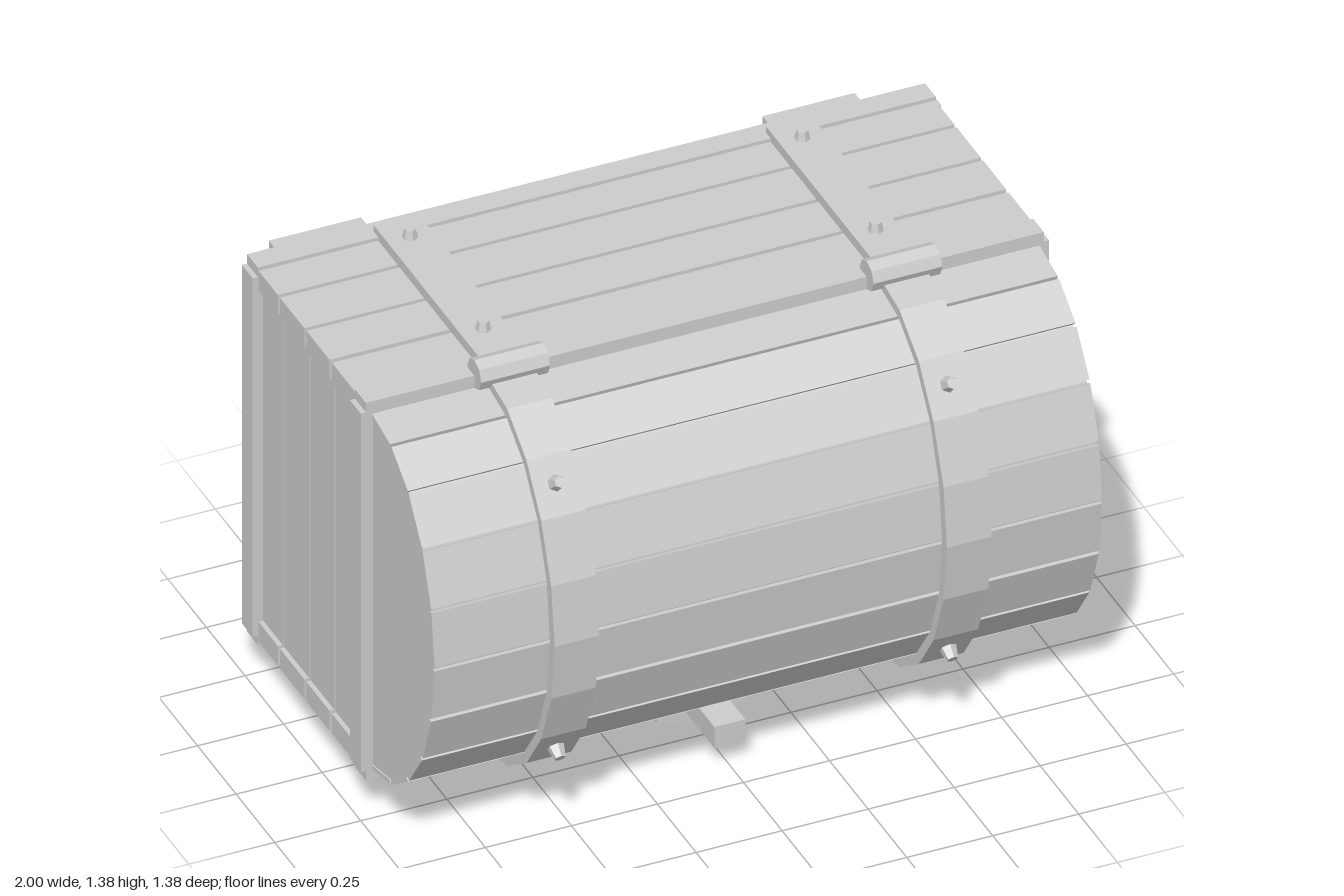
import * as THREE from 'three';

const MID = 0.73; // height of the chest's mirror plane

export function createModel() {
  const chest = new THREE.Group();
  chest.name = 'chest';
  const grey = new THREE.MeshStandardMaterial({ color: 0xcccccc });
  grey.name = 'plain grey';
  grey.flatShading = true;

  const add = (name, geometry) => {
    const mesh = new THREE.Mesh(geometry, grey);
    mesh.name = name;
    chest.add(mesh);
    return mesh;
  };
  // box given by its limits on each axis
  const box = (name, x0, x1, y0, y1, z0, z1) => {
    const mesh = add(name, new THREE.BoxGeometry(x1 - x0, y1 - y0, z1 - z0));
    mesh.position.set((x0 + x1) / 2, (y0 + y1) / 2, (z0 + z1) / 2);
    return mesh;
  };
  // [z, y] outline extruded along x
  const slab = (name, points, width, x = 0) => {
    const shape = new THREE.Shape(points.map(([z, y]) => new THREE.Vector2(z, y)));
    const geometry = new THREE.ExtrudeGeometry(shape, { depth: width, bevelEnabled: false });
    geometry.translate(0, 0, -width / 2).rotateY(-Math.PI / 2);
    const mesh = add(name, geometry);
    mesh.position.x = x;
    return mesh;
  };
  // hexagonal bolt pointing along a direction in the y-z plane
  const bolt = (x, y, z, ny, nz) => {
    const mesh = add('bolt', new THREE.CylinderGeometry(0.016, 0.024, 0.036, 6));
    mesh.position.set(x, y + ny * 0.009, z + nz * 0.009);
    mesh.quaternion.setFromUnitVectors(new THREE.Vector3(0, 1, 0), new THREE.Vector3(0, ny, nz).normalize());
  };

  // Body core and recessed base panel
  box('bodyCore', -0.925, 0.925, 0.205, 1.255, -0.46, 0.25);
  box('basePanel', -0.91, 0.91, 0.215, 1.245, -0.5, -0.45);

  // Planks around the body
  const rows = [[-0.452, -0.325], [-0.312, -0.153], [-0.14, 0.01], [0.025, 0.182]];
  for (const [z0, z1] of rows) {
    for (const s of [-1, 1]) {
      const y = MID + s * 0.5625;
      box('longPlank', -0.983, 0.983, y - 0.0315, y + 0.0315, z0, z1);
      const x = s * 0.94;
      box('endPlank', x - 0.03, x + 0.03, 0.2, 1.26, z0 - 0.004, z1 + 0.004);
    }
  }

  // Frames at the base and the rim
  for (const [z0, z1] of [[-0.52, -0.45], [0.18, 0.25]]) {
    for (const s of [-1, 1]) {
      const y = MID + s * 0.5725;
      box('frameRail', -0.985, 0.985, y - 0.0325, y + 0.0325, z0, z1);
      const x = s * 0.965;
      box('framePost', x - 0.035, x + 0.035, 0.155, 1.305, z0, z1);
    }
  }

  // Barrel lid: half outlines mirrored about the middle
  const mirror = (half) => [...half, ...half.slice(0, -1).reverse().map(([z, y]) => [z, 2 * MID - y])];
  const strapOuter = mirror([[0.25, 1.328], [0.385, 1.302], [0.51, 1.215], [0.605, 1.08], [0.67, 0.91], [0.692, MID]]);
  const plankOuter = mirror([[0.25, 1.3], [0.378, 1.274], [0.492, 1.193], [0.582, 1.067], [0.641, 0.905], [0.661, MID]]);
  const coreOuter = mirror([[0.25, 1.288], [0.374, 1.262], [0.484, 1.184], [0.572, 1.062], [0.629, 0.903], [0.649, MID]]);
  slab('lidCore', coreOuter, 1.93);
  const mix = (a, b, t) => [a[0] + (b[0] - a[0]) * t, a[1] + (b[1] - a[1]) * t];
  for (let i = 0; i < plankOuter.length - 1; i++) {
    const [a, b, c, d] = [plankOuter[i], plankOuter[i + 1], coreOuter[i + 1], coreOuter[i]];
    const g = 0.035;
    slab('lidPlank', [mix(a, b, g), mix(a, b, 1 - g), mix(d, c, 1 - g), mix(d, c, g)], 1.94);
  }

  // Straps, hinges and bolts
  for (const x of [-0.57, 0.57]) {
    slab('lidStrap', [...strapOuter, ...[...plankOuter].reverse()], 0.13, x);
    for (const s of [-1, 1]) {
      const y = MID + s * 0.608;
      box('bodyStrap', x - 0.065, x + 0.065, y - 0.017, y + 0.017, -0.48, 0.24);
      for (const z of [-0.39, 0.085]) bolt(x, MID + s * 0.625, z, s, 0);
      bolt(x, MID + s * 0.427, 0.561, s * 0.576, 0.818);
    }
    const hinge = add('hinge', new THREE.CylinderGeometry(0.045, 0.045, 0.2, 8));
    hinge.rotation.z = Math.PI / 2;
    hinge.position.set(x, 1.34, 0.25);
  }

  // Feet: a stem and a wider cap with a bevelled end
  for (const x of [-0.717, 0.717]) {
    for (const y of [0.352, 1.108]) {
      box('footStem', x - 0.125, x + 0.125, y - 0.126, y + 0.126, -0.6, -0.48);
      const cap = box('footCap', x - 0.134, x + 0.134, y - 0.135, y + 0.135, -0.678, -0.6);
      cap.name = 'footCap';
      const bevel = new THREE.CylinderGeometry(0.134 * Math.SQRT2, 0.12 * Math.SQRT2, 0.014, 4);
      bevel.rotateY(Math.PI / 4).rotateX(Math.PI / 2);
      add('footBevel', bevel).position.set(x, y, -0.685);
    }
  }

  // Lock with hasp and key knob
  box('lockBody', -0.13, 0.13, 0.055, 0.145, -0.1, 0.23);
  box('lockPlate', -0.105, 0.105, 0.035, 0.056, -0.07, 0.215);
  box('hasp', -0.045, 0.045, 0.068, 0.135, 0.2, 0.412);
  const knob = add('lockKnob', new THREE.CylinderGeometry(0.026, 0.016, 0.036, 6));
  knob.position.set(0, 0.018, 0.11);
  box('lockSlot', -0.01, 0.01, 0.006, 0.036, 0.045, 0.11);

  return chest;
}
